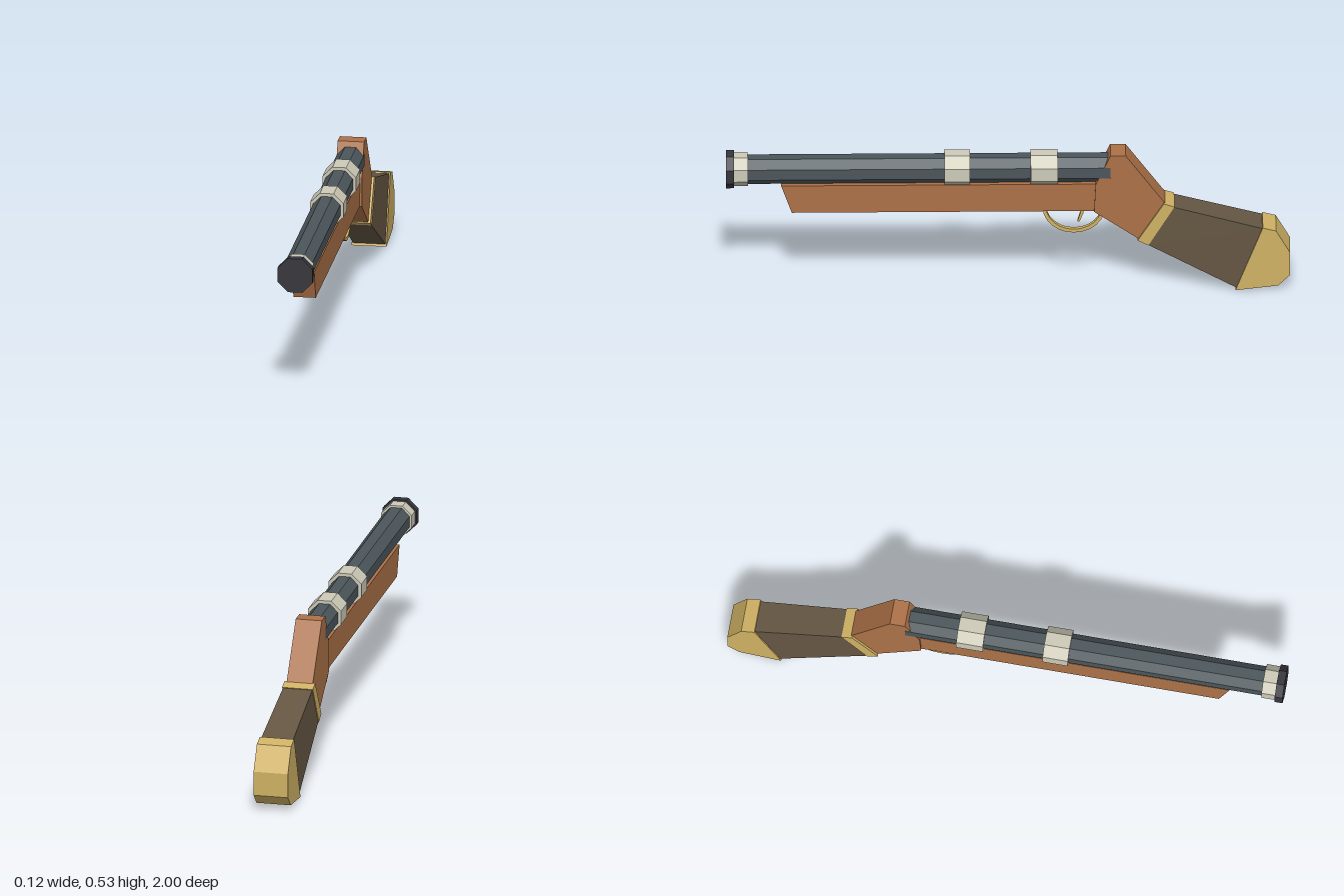
import * as THREE from 'three';

const mat = (name, color) => {
  const m = new THREE.MeshStandardMaterial({ color, flatShading: true });
  m.name = name;
  return m;
};

export function createModel() {
  const wood = mat('wood', 0xac7148);
  const gold = mat('brass', 0xcfb164);
  const brown = mat('dark leather', 0x655643);
  const steel = mat('blued steel', 0x4c565b);
  const silver = mat('pale silver', 0xcdcab8);
  const black = mat('black iron', 0x37363d);

  const group = new THREE.Group();
  const add = (name, geometry, material) => {
    const mesh = new THREE.Mesh(geometry, material);
    mesh.name = name;
    group.add(mesh);
    return mesh;
  };

  // Side profile of [z, y] points, extruded across x
  const plate = (points, halfWidth) => {
    const shape = new THREE.Shape(points.map(([z, y]) => new THREE.Vector2(z, y)));
    return new THREE.ExtrudeGeometry(shape, { depth: halfWidth * 2, bevelEnabled: false })
      .translate(0, 0, -halfWidth)
      .rotateY(-Math.PI / 2);
  };

  // Octagonal prism along z, measured across its flats
  const axisY = 0.4625;
  const octagon = (apothem, z0, z1) => {
    const r = apothem / Math.cos(Math.PI / 8);
    return new THREE.CylinderGeometry(r, r, z1 - z0, 8)
      .rotateY(Math.PI / 8)
      .rotateX(Math.PI / 2)
      .translate(0, axisY, (z0 + z1) / 2);
  };

  // Barrel, muzzle and bands
  add('barrel', octagon(0.0485, -0.363, 0.98), steel);
  add('muzzle', octagon(0.0625, 0.972, 1), black);
  add('muzzleBand', octagon(0.056, 0.923, 0.973), silver);
  add('frontBand', octagon(0.06, 0.135, 0.226), silver);
  add('rearBand', octagon(0.06, -0.176, -0.08), silver);

  // Wooden fore-end and grip
  add('foreStock', plate([[0.805, 0.415], [0.767, 0.308], [-0.32, 0.308], [-0.32, 0.415]], 0.04), wood);
  add('grip', plate([
    [-0.31, 0.415], [-0.305, 0.308], [-0.467, 0.197], [-0.557, 0.34], [-0.417, 0.53], [-0.363, 0.53],
  ], 0.0475), wood);

  // Collar between grip and butt
  add('collar', plate([[-0.459, 0.197], [-0.497, 0.177], [-0.59, 0.33], [-0.552, 0.342]], 0.056), gold);

  // Butt, widening toward the rear
  const butt = plate([[-0.495, 0.179], [-0.588, 0.327], [-0.908, 0.241], [-0.81, 0.008]], 0.058);
  const pos = butt.attributes.position;
  for (let i = 0; i < pos.count; i++) {
    if (pos.getZ(i) > -0.7) pos.setX(i, pos.getX(i) * 0.92);
  }
  butt.computeVertexNormals();
  add('butt', butt, brown);
  add('buttCap', plate([
    [-0.806, 0], [-0.903, 0.247], [-0.95, 0.235], [-1, 0.148], [-1, 0.06], [-0.957, 0.018],
  ], 0.0625), gold);

  // Trigger guard: half ring under the stock
  const arc = (rz, ry) => Array.from({ length: 13 }, (_, i) => {
    const a = (Math.PI * i) / 12;
    return [-0.234 + rz * Math.cos(a), 0.31 - ry * Math.sin(a)];
  });
  add('triggerGuard', plate([...arc(0.112, 0.104), ...arc(0.099, 0.091).reverse()], 0.008), gold);
  add('trigger', plate([
    [-0.257, 0.312], [-0.257, 0.285], [-0.246, 0.25], [-0.254, 0.25], [-0.268, 0.285], [-0.268, 0.312],
  ], 0.007), gold);

  return group;
}
